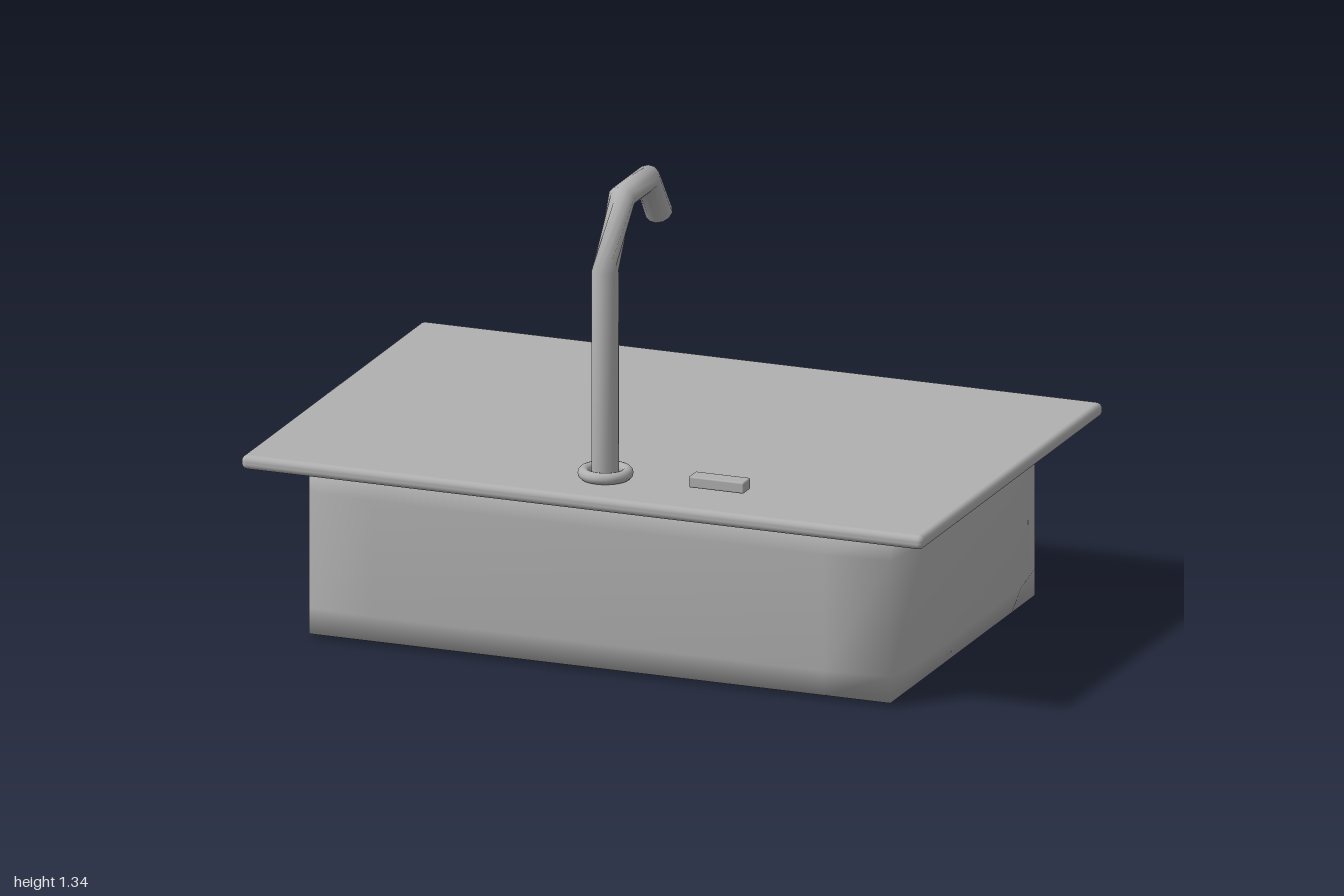
import * as THREE from 'three';
import { mergeVertices } from 'three/addons/utils/BufferGeometryUtils.js';
import { RoundedBoxGeometry } from 'three/addons/geometries/RoundedBoxGeometry.js';

const steel = new THREE.MeshStandardMaterial({ color: 0xb0b0b0 });
steel.name = 'steel';

function part(name, geometry, x = 0, y = 0, z = 0) {
  const mesh = new THREE.Mesh(geometry, steel);
  mesh.name = name;
  mesh.position.set(x, y, z);
  return mesh;
}

// Box of 3 x 3 x 3 cells whose edges and corners are drawn in, with smooth normals
function basinGeometry() {
  const outer = [0.88, 0.25, 0.545];
  const inner = [0.66, 0.165, 0.36];
  const inset = [0.028, 0.01, 0.015];
  let geo = new THREE.BoxGeometry(2, 2, 2, 3, 3, 3);
  geo.deleteAttribute('uv');
  geo.deleteAttribute('normal');
  geo = mergeVertices(geo, 1e-3);
  const pos = geo.attributes.position;
  for (let i = 0; i < pos.count; i++) {
    const p = [pos.getX(i), pos.getY(i), pos.getZ(i)];
    const onRim = p.filter((v) => Math.abs(v) > 0.9).length > 1;
    const q = p.map((v, k) => {
      const size = Math.abs(v) > 0.9 ? outer[k] - (onRim ? inset[k] : 0) : inner[k];
      return Math.sign(v) * size;
    });
    pos.setXYZ(i, ...q);
  }
  geo.computeVertexNormals();
  return geo;
}

// Faucet rings: centre y, centre z, tilt and twist in degrees
const rings = [
  [0.545, 0.49, 0, 0],
  [1.132, 0.49, 4, 0],
  [1.307, 0.367, 62, 55],
  [1.307, 0.183, 118, 55],
  [1.185, 0.095, 146, 55],
];
const pipeRadius = 0.038;

function pipeGeometry(sides = 12) {
  const points = [];
  const index = [];
  rings.forEach(([y, z, tilt, twist], i) => {
    const a = THREE.MathUtils.degToRad(tilt);
    for (let j = 0; j < sides; j++) {
      const t = (j / sides) * Math.PI * 2 + THREE.MathUtils.degToRad(twist);
      const out = Math.cos(t) * pipeRadius;
      points.push(Math.sin(t) * pipeRadius, y + out * Math.sin(a), z + out * Math.cos(a));
      if (i === rings.length - 1) continue;
      const k = (j + 1) % sides;
      const [p, q, r, s] = [i * sides + j, i * sides + k, (i + 1) * sides + k, (i + 1) * sides + j];
      index.push(p, q, r, p, r, s);
    }
  });
  const geo = new THREE.BufferGeometry();
  geo.setAttribute('position', new THREE.Float32BufferAttribute(points, 3));
  geo.setIndex(index);
  geo.computeVertexNormals();
  return geo;
}

export function createModel() {
  const model = new THREE.Group();
  model.name = 'sink';

  // Basin and counter plate
  model.add(part('basin', basinGeometry(), 0, 0.25, 0));
  model.add(part('counterPlate', new RoundedBoxGeometry(2, 0.04, 1.33, 3, 0.017), 0, 0.52, 0));

  // Faucet with its base ring and spout end
  const faucet = new THREE.Group();
  faucet.name = 'faucet';
  const collar = new THREE.TorusGeometry(0.06, 0.0165, 12, 32).rotateX(Math.PI / 2);
  faucet.add(part('baseRing', collar, 0, 0.557, 0.487));
  faucet.add(part('pipe', pipeGeometry()));
  const [y, z, tilt] = rings[rings.length - 1];
  const a = THREE.MathUtils.degToRad(tilt);
  const cap = part('spoutEnd', new THREE.CircleGeometry(pipeRadius, 12), 0, y, z);
  cap.lookAt(0, y + Math.cos(a), z - Math.sin(a));
  faucet.add(cap);
  model.add(faucet);

  // Lever block beside the faucet
  model.add(part('lever', new RoundedBoxGeometry(0.162, 0.032, 0.053, 2, 0.005), 0.332, 0.565, 0.482));
  return model;
}
